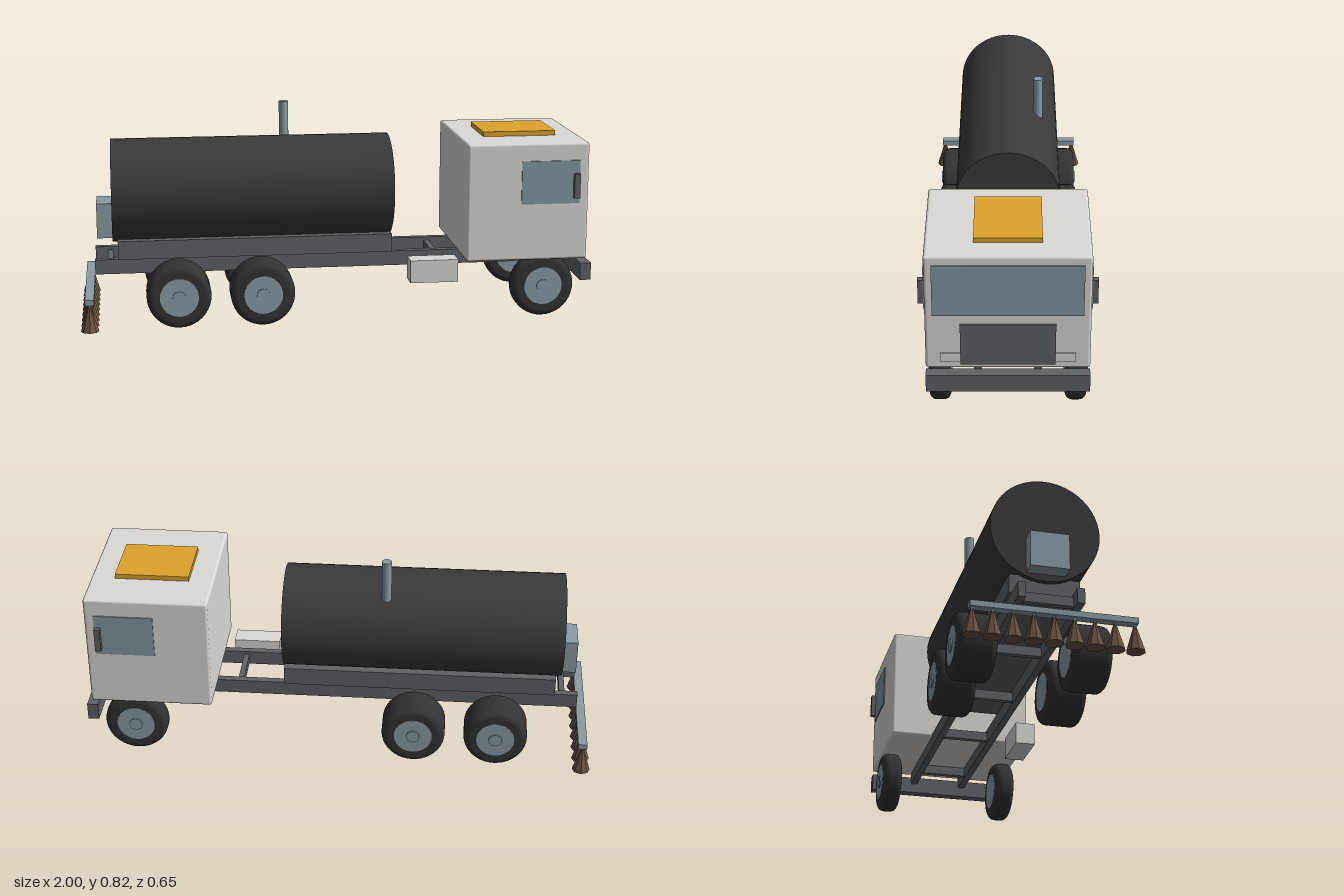
import * as THREE from 'three';
import { RoundedBoxGeometry } from 'three/addons/geometries/RoundedBoxGeometry.js';

const flat = (name, color) => {
  const m = new THREE.MeshStandardMaterial({ color });
  m.name = name;
  return m;
};

export function createModel() {
  const truck = new THREE.Group();
  truck.name = 'sprayerTruck';

  const white = flat('cabWhite', 0xdcdad5);
  const tankBlack = flat('tankBlack', 0x3a3a3a);
  const rubber = flat('rubber', 0x333333);
  const frameGrey = flat('frameGrey', 0x5f6266);
  const steel = flat('steel', 0x8b9ca6);
  const glass = flat('glass', 0x8499a3);
  const amber = flat('amber', 0xdea32c);
  const brown = flat('nozzleBrown', 0x6b5443);

  const add = (name, geometry, material, x, y, z, parent = truck) => {
    const mesh = new THREE.Mesh(geometry, material);
    mesh.name = name;
    mesh.position.set(x, y, z);
    parent.add(mesh);
    return mesh;
  };
  // Box given by its extents on each axis
  const box = (name, material, [x0, x1], [y0, y1], [z0, z1]) =>
    add(name, new THREE.BoxGeometry(x1 - x0, y1 - y0, z1 - z0), material,
      (x0 + x1) / 2, (y0 + y1) / 2, (z0 + z1) / 2);

  // Chassis
  for (const s of [-1, 1]) {
    box('chassisRail', frameGrey, [-0.94, 0.96], [0.187, 0.245], [s * 0.107 - 0.014, s * 0.107 + 0.014]);
  }
  for (const x of [-0.88, -0.45, -0.02, 0.41, 0.84]) {
    box('crossMember', frameGrey, [x - 0.011, x + 0.011], [0.195, 0.232], [-0.1, 0.1]);
  }
  box('bumper', frameGrey, [0.957, 1], [0.147, 0.216], [-0.293, 0.293]);
  box('toolbox', white, [0.283, 0.472], [0.15, 0.24], [0.188, 0.268]);

  // Tank and its fittings
  box('tankSaddle', frameGrey, [-0.85, 0.23], [0.245, 0.318], [-0.13, 0.13]);
  const tank = add('tank', new THREE.CylinderGeometry(0.203, 0.203, 1.1, 48), tankBlack, -0.32, 0.497, 0);
  tank.rotation.z = Math.PI / 2;
  add('ventPipe', new THREE.CylinderGeometry(0.019, 0.019, 0.17, 20), steel, -0.175, 0.735, -0.119);
  box('pumpBox', steel, [-0.93, -0.865], [0.32, 0.458], [-0.072, 0.072]);

  // Cab
  add('cab', new RoundedBoxGeometry(0.48, 0.464, 0.585, 3, 0.01), white, 0.74, 0.467, 0);
  box('windscreen', glass, [0.978, 0.984], [0.46, 0.664], [-0.266, 0.266]);
  box('grille', frameGrey, [0.978, 0.988], [0.257, 0.424], [-0.169, 0.169]);
  box('roofPanel', amber, [0.595, 0.885], [0.695, 0.718], [-0.121, 0.121]);
  for (const s of [-1, 1]) {
    const span = (a, b) => [Math.min(s * a, s * b), Math.max(s * a, s * b)];
    box('sideWindow', glass, [0.713, 0.943], [0.46, 0.63], span(0.29, 0.297));
    box('mirror', frameGrey, [0.918, 0.941], [0.483, 0.579], span(0.292, 0.316));
    box('headlight', white, [0.978, 0.986], [0.268, 0.302], span(0.15, 0.24));
  }

  // Wheels, with a rounded tyre section, a rim disc and a hub
  const makeWheel = (name, x, s, width) => {
    const wheel = new THREE.Group();
    wheel.name = name;
    wheel.position.set(x, 0.127, s * (0.286 - width / 2));
    wheel.rotation.x = s * Math.PI / 2;
    const h = width / 2, r = 0.026;
    const points = [new THREE.Vector2(0.074, -h)];
    for (const side of [-1, 1]) {
      for (let i = 0; i <= 5; i++) {
        const a = (side < 0 ? i - 5 : i) / 5 * Math.PI / 2;
        points.push(new THREE.Vector2(0.125 - r + r * Math.cos(a), side * (h - r) + r * Math.sin(a)));
      }
    }
    points.push(new THREE.Vector2(0.074, h));
    add('tyre', new THREE.LatheGeometry(points, 40), rubber, 0, 0, 0, wheel);
    add('rim', new THREE.CylinderGeometry(0.075, 0.075, width + 0.002, 32), steel, 0, 0, 0, wheel);
    add('hub', new THREE.CylinderGeometry(0.026, 0.026, 0.012, 20), steel, 0, h, 0, wheel);
    truck.add(wheel);
  };
  for (const s of [-1, 1]) {
    makeWheel('frontWheel', 0.81, s, 0.078);
    makeWheel('rearWheel', -0.295, s, 0.147);
    makeWheel('rearWheel', -0.62, s, 0.147);
  }

  // Spray boom with a row of faceted nozzles
  box('sprayBar', steel, [-0.98, -0.945], [0.111, 0.133], [-0.3, 0.3]);
  const coneGeometry = new THREE.CylinderGeometry(0.006, 0.035, 0.096, 8).toNonIndexed();
  coneGeometry.computeVertexNormals();
  const neckGeometry = new THREE.CylinderGeometry(0.005, 0.005, 0.02, 10);
  for (let i = -4; i <= 4; i++) {
    add('nozzle', coneGeometry, brown, -0.963, 0.056, i * 0.0725);
    add('nozzleNeck', neckGeometry, steel, -0.963, 0.108, i * 0.0725);
  }

  return truck;
}
